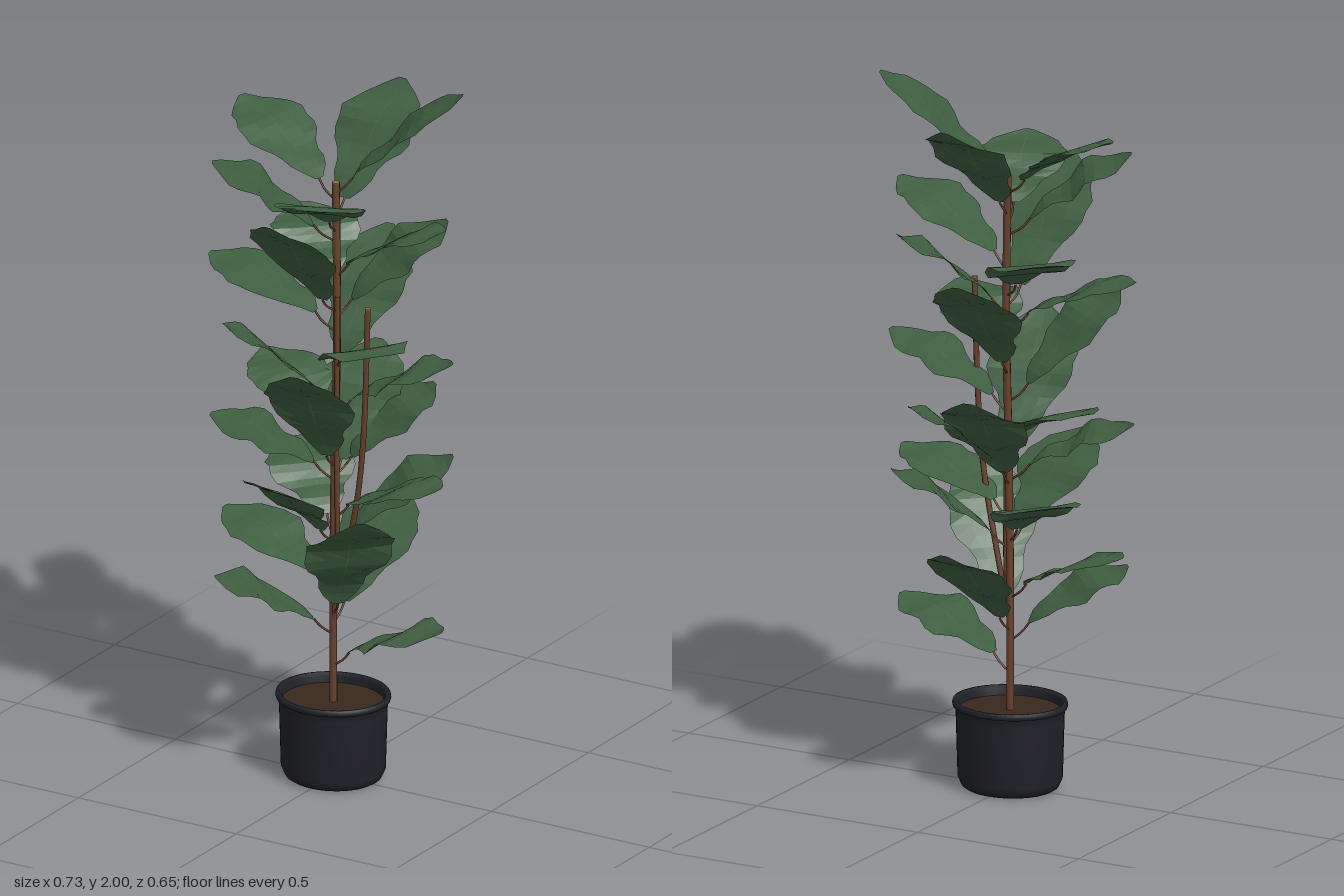
import * as THREE from 'three';

const mat = (name, color, extra = {}) => {
  const m = new THREE.MeshStandardMaterial({ color, ...extra });
  m.name = name;
  return m;
};
const add = (parent, name, geometry, material) => {
  const mesh = new THREE.Mesh(geometry, material);
  mesh.name = name;
  parent.add(mesh);
  return mesh;
};
const V = (x, y, z) => new THREE.Vector3(x, y, z);

// Each leaf: tip x, tip y, tip z, height of the blade's base
const LEAVES = [
  [0.33, 2.0, -0.13, 1.74], [-0.34, 1.88, -0.08, 1.72], [0.02, 1.92, -0.325, 1.66],
  [-0.28, 1.78, 0.17, 1.60], [0.11, 1.76, 0.29, 1.63], [-0.01, 1.70, 0.325, 1.40],
  [0.36, 1.66, 0.03, 1.50], [0.22, 1.58, -0.23, 1.38], [-0.22, 1.55, -0.21, 1.43],
  [-0.02, 1.49, -0.325, 1.21], [-0.365, 1.46, 0.04, 1.34], [-0.19, 1.36, 0.26, 1.13],
  [0.27, 1.34, 0.20, 1.23], [0.35, 1.25, -0.04, 1.10], [0.06, 1.27, 0.30, 0.95],
  [-0.31, 1.13, -0.15, 1.01], [0.18, 1.10, -0.23, 0.92], [-0.04, 1.16, -0.30, 0.90],
  [-0.31, 1.03, 0.13, 0.91], [-0.06, 0.94, 0.31, 0.73], [0.35, 0.91, 0.03, 0.80],
  [0.25, 0.91, -0.21, 0.72], [0.22, 0.85, 0.22, 0.52], [-0.24, 0.87, -0.20, 0.74],
  [-0.36, 0.70, -0.03, 0.58], [0.02, 0.73, -0.325, 0.49], [-0.24, 0.60, 0.22, 0.46],
  [0.35, 0.49, 0.02, 0.37],
];

// Half-widths from the leaf's base to its tip: narrow waist, scalloped broad end
const WIDTHS = [0.015, 0.045, 0.062, 0.066, 0.08, 0.108, 0.122, 0.118, 0.123, 0.104, 0.09, 0.055, 0.012];
const ROWS = WIDTHS.length - 1;
const ACROSS = 4;

// Returns a rule giving the point at t along the blade and v (-1 to 1) across it
function bladeSurface(base, tip, phase) {
  const out = V(tip.x - base.x, 0, tip.z - base.z).normalize();
  const side = V(out.z, 0, -out.x);
  const normal = tip.clone().sub(base).cross(side).normalize();
  return (t, v, lift = 0) => {
    const i = Math.min(Math.floor(t * ROWS), ROWS - 1);
    const half = THREE.MathUtils.lerp(WIDTHS[i], WIDTHS[i + 1], t * ROWS - i);
    const bow = 0.018 * Math.sin(Math.PI * t) + 0.006 * Math.sin(Math.PI * 4 * t);
    const ripple = 0.06 * v * v * half * Math.sin(t * 17 + phase);
    return base.clone().lerp(tip, t).addScaledVector(side, v * half)
      .addScaledVector(normal, bow + ripple + lift);
  };
}

// Grid of quads from a point rule
function gridGeometry(rows, cols, point) {
  const pos = [], index = [];
  for (let i = 0; i <= rows; i++) {
    for (let j = 0; j <= cols; j++) {
      pos.push(...point(i / rows, j / cols).toArray());
      if (i < rows && j < cols) {
        const a = i * (cols + 1) + j, b = a + cols + 1;
        index.push(a, b, a + 1, a + 1, b, b + 1);
      }
    }
  }
  const g = new THREE.BufferGeometry();
  g.setAttribute('position', new THREE.Float32BufferAttribute(pos, 3));
  g.setIndex(index);
  g.computeVertexNormals();
  return g;
}

const tube = (points, radius, steps = 16, sides = 7) =>
  new THREE.TubeGeometry(new THREE.CatmullRomCurve3(points), steps, radius, sides);

export function createModel() {
  const model = new THREE.Group();
  model.name = 'pottedPlant';
  const potMat = mat('charcoal pot', 0x202128);
  const soilMat = mat('soil', 0x38291c);
  const barkMat = mat('bark', 0x67412d);
  const cutMat = mat('cut wood', 0xa07050);
  const leafMat = mat('leaf green', 0x3f5e41, { side: THREE.DoubleSide, flatShading: true });
  const veinMat = mat('leaf vein', 0x66703f, { side: THREE.DoubleSide });

  // Pot with a rounded foot, a lip and an inner wall
  const profile = [[0, 0], [0.124, 0], [0.134, 0.006], [0.145, 0.03], [0.15, 0.205],
    [0.152, 0.225], [0.158, 0.227], [0.16, 0.234], [0.158, 0.243], [0.148, 0.243],
    [0.143, 0.235], [0.14, 0.2]].map(([x, y]) => new THREE.Vector2(x, y));
  add(model, 'pot', new THREE.LatheGeometry(profile, 40), potMat).scale.z = 0.92;
  const soil = add(model, 'soil', new THREE.CylinderGeometry(0.142, 0.142, 0.01, 32), soilMat);
  soil.position.y = 0.212;
  soil.scale.z = 0.92;

  // Main trunk, a slim companion shoot and the leaning side stem
  const trunkPath = [V(0, 0.2, 0), V(0, 0.5, 0), V(0.006, 0.9, 0.004),
    V(0.012, 1.3, 0), V(0.005, 1.72, -0.005)];
  const trunkCurve = new THREE.CatmullRomCurve3(trunkPath);
  add(model, 'trunk', tube(trunkPath, 0.011, 24, 8), barkMat);
  add(model, 'shoot', tube([V(0, 0.42, 0), V(0.02, 0.6, 0.012), V(0.022, 0.95, 0.018),
    V(0.02, 1.4, 0.012)], 0.007), barkMat);
  add(model, 'sideStem', tube([V(0, 0.46, 0), V(0.05, 0.65, 0.015), V(0.1, 0.85, 0.035),
    V(0.125, 1.05, 0.045), V(0.14, 1.4, 0.05)], 0.008), barkMat);
  const cuts = [[0.005, 1.721, -0.005, 0.011], [0.14, 1.401, 0.05, 0.008]];
  for (const [x, y, z, r] of cuts) {
    add(model, 'stemCut', new THREE.CylinderGeometry(r, r, 0.004, 8), cutMat).position.set(x, y, z);
  }

  // Leaves, each with a stalk, a blade and fine veins
  LEAVES.forEach(([x, y, z, baseY], i) => {
    const leaf = new THREE.Group();
    leaf.name = 'leaf' + (i + 1);
    const out = V(x, 0, z).normalize();
    const base = out.clone().multiplyScalar(0.054).setY(baseY);
    const surface = bladeSurface(base, V(x, y, z), i * 1.3);
    const root = trunkCurve.getPointAt((Math.min(baseY - 0.05, 1.7) - 0.2) / 1.52);
    const bend = out.clone().multiplyScalar(0.034).setY(baseY - 0.025);
    add(leaf, 'stalk', tube([root, bend, base], 0.0032, 6, 5), barkMat);
    add(leaf, 'blade', gridGeometry(ROWS, ACROSS, (t, s) => surface(t, s * 2 - 1)), leafMat);

    // Midrib on both faces; side veins in pairs on the underside
    for (const [lift, width] of [[-0.001, 0.016], [0.0006, 0.007]]) {
      add(leaf, 'midrib', gridGeometry(ROWS, 1,
        (t, s) => surface(t * 0.92, (s - 0.5) * width, lift)), veinMat);
    }
    for (const start of [0.25, 0.48, 0.68]) {
      for (const sign of [-1, 1]) {
        add(leaf, 'sideVein', gridGeometry(4, 1,
          (t, s) => surface(start + t * 0.14 + s * 0.004, sign * t * 0.7, -0.0015)), veinMat);
      }
    }
    model.add(leaf);
  });
  return model;
}
